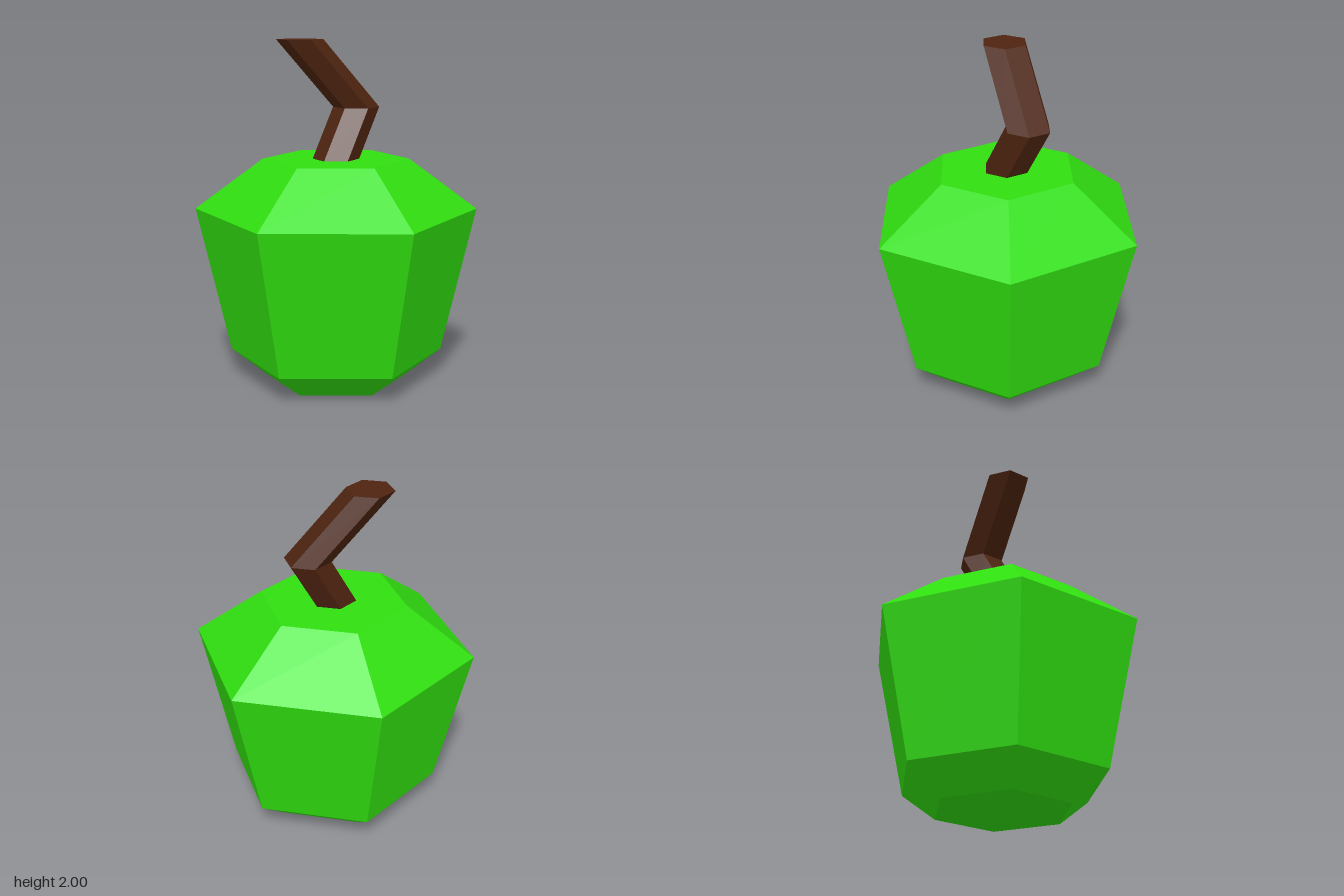
import * as THREE from 'three';

const SIDES = 6;

// Flat-shaded closed loft through horizontal hexagons, listed from bottom to top
function hexLoft(sections) {
  const rings = sections.map(({ x = 0, y, z = 0, r }) =>
    Array.from({ length: SIDES }, (_, j) => {
      const a = (j / SIDES) * Math.PI * 2;
      return [x + r * Math.sin(a), y, z + r * Math.cos(a)];
    }));
  const pos = [];
  const tri = (a, b, c) => pos.push(...a, ...b, ...c);
  for (let i = 0; i < rings.length - 1; i++) {
    for (let j = 0; j < SIDES; j++) {
      const k = (j + 1) % SIDES;
      tri(rings[i][j], rings[i][k], rings[i + 1][k]);
      tri(rings[i][j], rings[i + 1][k], rings[i + 1][j]);
    }
  }
  // End caps
  const bottom = rings[0], top = rings[rings.length - 1];
  for (let j = 1; j < SIDES - 1; j++) {
    tri(bottom[0], bottom[j + 1], bottom[j]);
    tri(top[0], top[j], top[j + 1]);
  }
  const geometry = new THREE.BufferGeometry();
  geometry.setAttribute('position', new THREE.Float32BufferAttribute(pos, 3));
  geometry.computeVertexNormals();
  return geometry;
}

export function createModel() {
  const group = new THREE.Group();
  group.name = 'apple';

  const skin = new THREE.MeshStandardMaterial({ color: 0x30de10 });
  skin.name = 'green skin';
  const bark = new THREE.MeshStandardMaterial({ color: 0x4e2410 });
  bark.name = 'brown bark';

  // Fruit: narrow base, wide shoulder, flat top
  const fruit = new THREE.Mesh(hexLoft([
    { y: 0, r: 0.41 },
    { y: 0.165, r: 0.625 },
    { y: 1.02, r: 0.822 },
    { y: 1.315, r: 0.425 },
  ]), skin);
  fruit.name = 'fruit';

  // Stem: leans back, then bends forward and to the right
  const stem = new THREE.Mesh(hexLoft([
    { y: 1.315, r: 0.135 },
    { x: 0.043, y: 1.605, z: -0.161, r: 0.135 },
    { x: -0.175, y: 2, z: 0.108, r: 0.135 },
  ]), bark);
  stem.name = 'stem';

  group.add(fruit, stem);
  return group;
}
